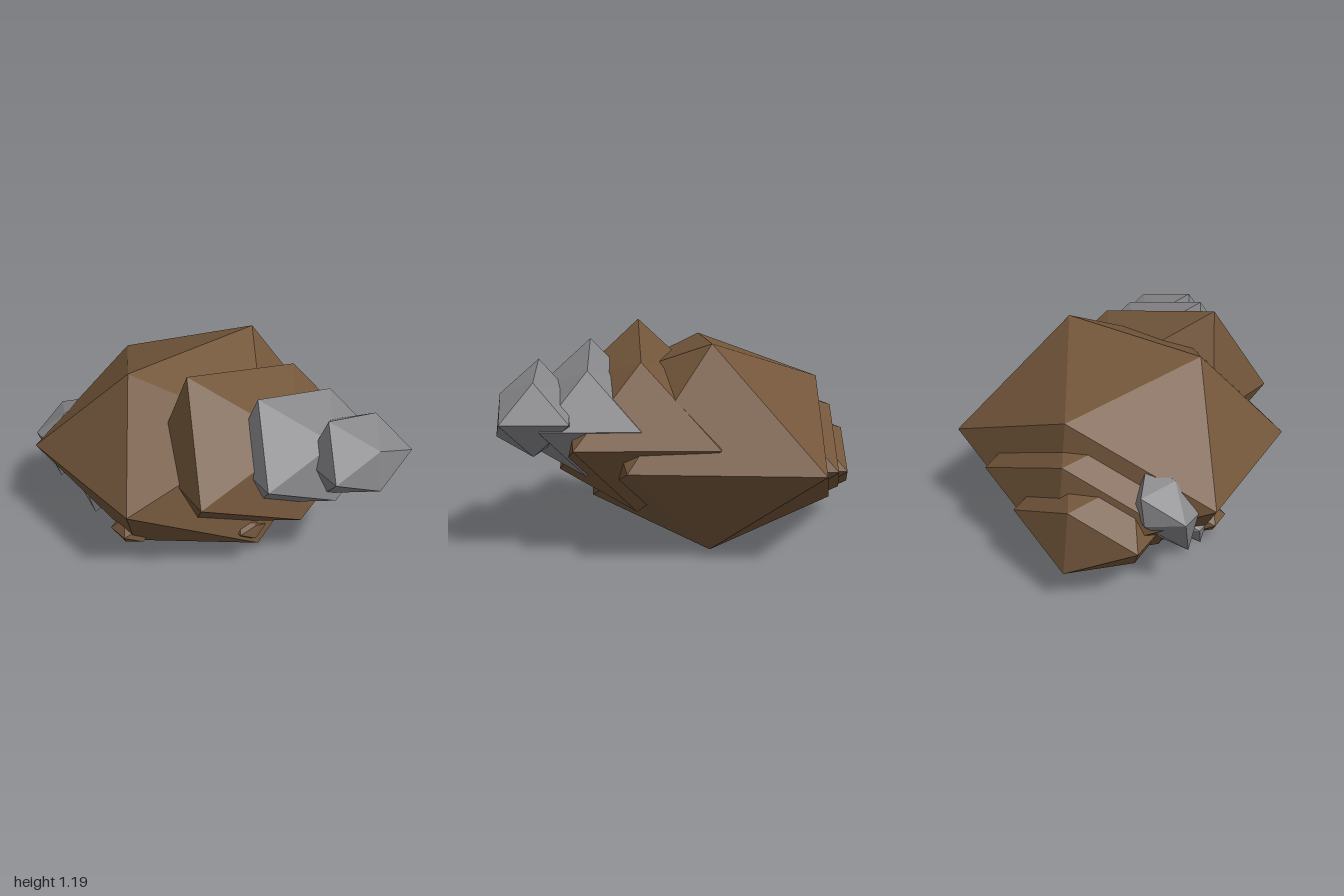
import * as THREE from 'three';
import { ConvexGeometry } from 'three/addons/geometries/ConvexGeometry.js';

// Each rock form is a distorted icosahedron, as pairs of points:
// top front/back, bottom front/back, front left/right, back left/right,
// right upper/lower, left upper/lower (left = -x, right = +x).
const boulder = [
  [-0.11, 1.09, 0.43], [-0.11, 1.14, -0.39], [-0.11, 0, 0.45], [-0.11, 0.01, -0.34],
  [-0.57, 0.55, 0.79], [0.31, 0.55, 0.73], [-0.63, 0.55, -0.8], [0.33, 0.55, -0.69],
  [0.48, 0.88, 0], [0.53, 0.21, 0.05], [-0.75, 0.89, 0.05], [-0.85, 0.17, 0.03],
];
const shoulder = [
  [0.25, 1.19, 0.31], [0.25, 1.05, -0.39], [0.25, 0.28, 0.27], [0.28, 0.25, -0.38],
  [0.08, 0.66, 0.42], [0.6, 0.66, 0.48], [-0.13, 0.66, -0.69], [0.59, 0.66, -0.65],
  [0.64, 0.88, -0.08], [0.7, 0.41, -0.09], [-0.1, 0.9, -0.1], [-0.1, 0.45, -0.1],
];
const nugget = [
  [-0.6, 0.67, 0.58], [-0.6, 0.72, 0.42], [-0.58, 0.28, 0.65], [-0.62, 0.33, 0.45],
  [-0.72, 0.53, 0.71], [-0.6, 0.53, 0.71], [-0.7, 0.5, 0.39], [-0.55, 0.5, 0.4],
  [-0.55, 0.65, 0.52], [-0.48, 0.4, 0.6], [-0.78, 0.64, 0.5], [-0.78, 0.49, 0.52],
];

export function createModel() {
  const group = new THREE.Group();
  const earth = new THREE.MeshStandardMaterial({ color: 0x73563b });
  earth.name = 'brown rock';
  const ore = new THREE.MeshStandardMaterial({ color: 0x868689 });
  ore.name = 'grey ore';

  // Scales a form about one of its points and moves that point to a target
  function rock(name, material, form, size = 1, anchor = form[0], target = anchor) {
    const a = new THREE.Vector3(...anchor);
    const t = new THREE.Vector3(...target);
    const points = form.map((p) => new THREE.Vector3(...p).sub(a).multiplyScalar(size).add(t));
    const mesh = new THREE.Mesh(new ConvexGeometry(points), material);
    mesh.name = name;
    group.add(mesh);
  }

  // Main body
  rock('mainBoulder', earth, boulder);

  // Chain of shrinking rocks climbing out to the right side
  rock('shoulderRock', earth, shoulder);
  rock('largeOre', ore, shoulder, 0.695, shoulder[0], [0.52, 1.11, 0.08]);
  rock('outerOre', ore, shoulder, 0.475, shoulder[0], [0.785, 1.035, -0.145]);

  // Stepped rocks on the other side
  rock('sideRock', earth, boulder, 0.69, boulder[10], [-0.85, 0.71, 0.1]);
  rock('outerSideRock', earth, boulder, 0.46, boulder[10], [-0.95, 0.545, 0.2]);

  // Small ore pieces on the front
  rock('frontOre', ore, nugget);
  rock('smallFrontOre', ore, nugget, 0.5, [-0.64, 0.5, 0.55], [-0.35, 0.245, 0.53]);

  // Chips low on the body
  rock('bottomChip', earth, boulder, 0.15, [-0.12, 0.55, 0], [-0.08, 0.13, 0.46]);
  rock('sideChip', earth, boulder, 0.12, [-0.12, 0.55, 0], [0.46, 0.3, 0.07]);

  return group;
}
